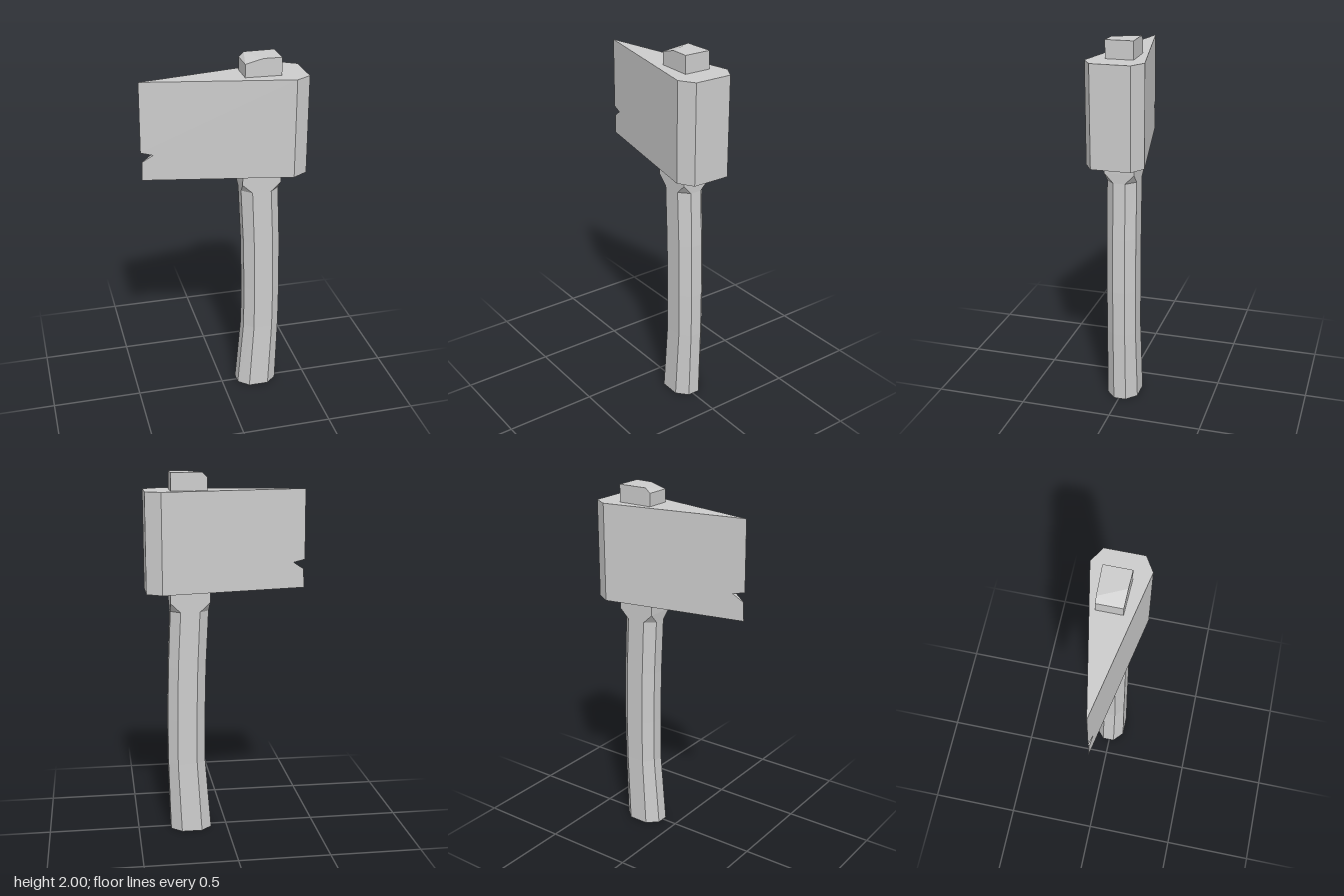
import * as THREE from 'three';

const material = new THREE.MeshStandardMaterial({ color: 0xcccccc, flatShading: true });

// Closed loft through rings of [x, y, z] points, counter-clockwise seen from above.
// Caps are strips joining the first half of a ring to its second half.
function loft(name, rings) {
  const n = rings[0].length;
  const index = [];
  const quad = (a, b, c, d) => index.push(a, b, c, a, c, d);
  for (let r = 0; r < rings.length - 1; r++) {
    for (let i = 0; i < n; i++) {
      const a = r * n + i, b = r * n + (i + 1) % n;
      quad(a, b, b + n, a + n);
    }
  }
  const top = (rings.length - 1) * n;
  for (let i = 0; i < n / 2 - 1; i++) {
    quad(n - 1 - i, n - 2 - i, i + 1, i);
    quad(top + i, top + i + 1, top + n - 2 - i, top + n - 1 - i);
  }
  const indexed = new THREE.BufferGeometry();
  indexed.setAttribute('position', new THREE.Float32BufferAttribute(rings.flat(2), 3));
  indexed.setIndex(index);
  const geometry = indexed.toNonIndexed();
  geometry.computeVertexNormals();
  const mesh = new THREE.Mesh(geometry, material);
  mesh.name = name;
  return mesh;
}

// Wedge section of the head; a cutting edge set back from the tip leaves a flat there
function headRing(y, edgeX) {
  const w = (edgeX + 0.4375) * 0.155 / 0.7925;
  return [[edgeX, w], [0.355, 0.155], [0.4375, 0.105], [0.4375, -0.105], [0.355, -0.155], [edgeX, -w]]
    .map(([x, z]) => [x, y, z]);
}

// Chamfered rectangle: half sizes hx, hz; flats reach cx, cz from the centre
function handleRing([y, x0, hx, hz, cx, cz]) {
  return [[-cx, hz], [cx, hz], [hx, cz], [hx, -cz], [cx, -hz], [-cx, -hz], [-hx, -cz], [-hx, cz]]
    .map(([x, z]) => [x0 + x, y, z - 0.006]);
}

export function createModel() {
  const group = new THREE.Group();
  group.name = 'axe';

  // Head with a chipped notch in the cutting edge
  group.add(loft('head', [
    headRing(1.367, -0.435),
    headRing(1.47, -0.43),
    headRing(1.508, -0.372),
    headRing(1.522, -0.4375),
    headRing(1.905, -0.435),
  ]));

  // Curved eight-sided handle, squared off into a collar under the head
  group.add(loft('handle', [
    [0, 0.204, 0.114, 0.086, 0.056, 0.034],
    [0.4, 0.225, 0.103, 0.08, 0.053, 0.033],
    [0.65, 0.225, 0.103, 0.08, 0.053, 0.033],
    [0.95, 0.218, 0.103, 0.08, 0.053, 0.033],
    [1.26, 0.203, 0.104, 0.08, 0.052, 0.032],
    [1.312, 0.202, 0.107, 0.08, 0.107, 0.08],
    [1.4, 0.202, 0.107, 0.08, 0.107, 0.08],
  ].map(handleRing)));

  // Handle end showing above the head, with its top worn down on the blade side
  const pegPlan = [[0.106, 0.06], [0.2, 0.063], [0.3, 0.066], [0.3, -0.082], [0.133, -0.077], [0.106, -0.076]];
  const pegTop = [1.975, 2, 2, 2, 2, 1.975];
  group.add(loft('handleEnd', [
    pegPlan.map(([x, z]) => [x, 1.87, z]),
    pegPlan.map(([x, z], i) => [x, pegTop[i], z]),
  ]));

  return group;
}
